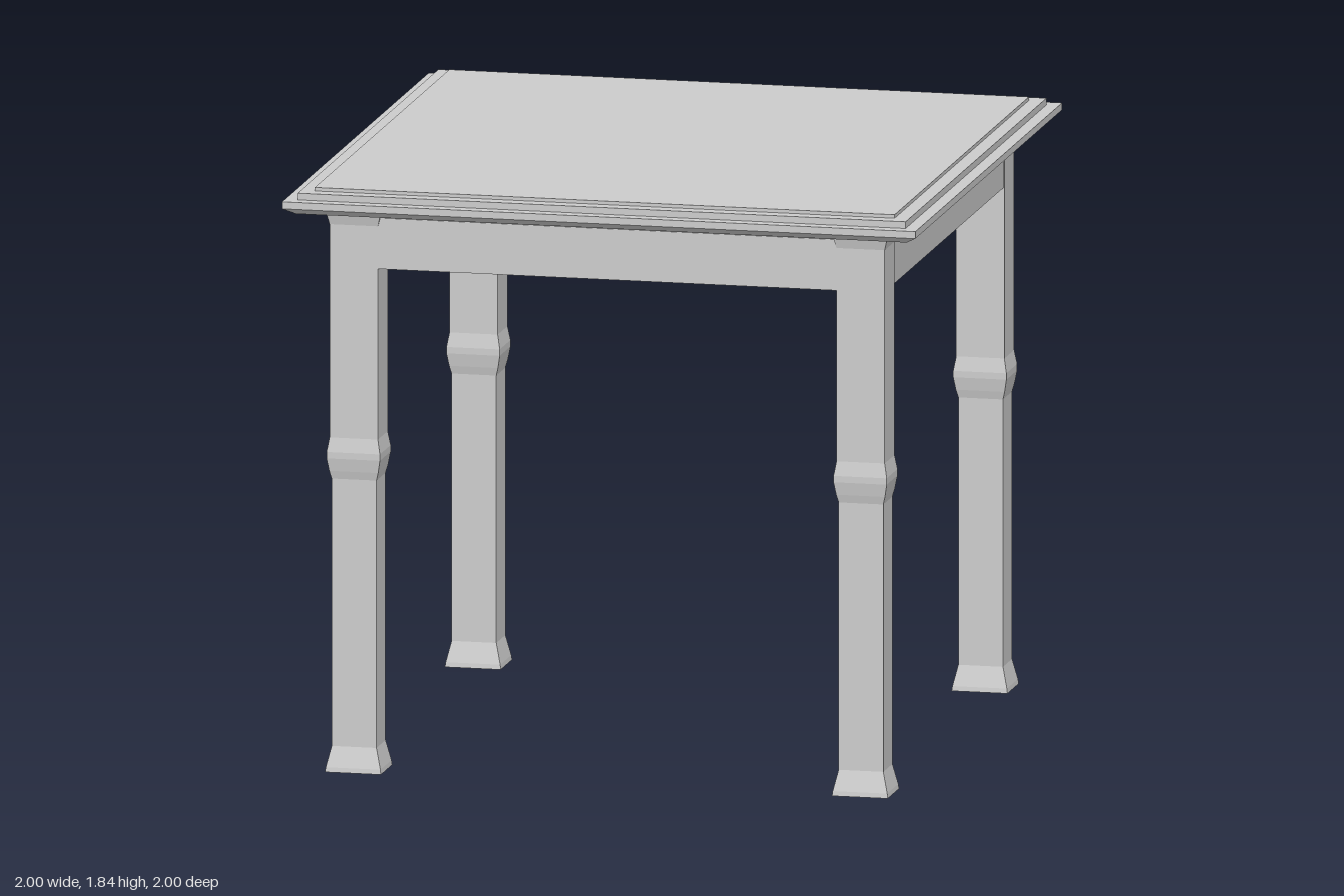
import * as THREE from 'three';

const material = new THREE.MeshStandardMaterial({ color: 0xcccccc, flatShading: true, side: THREE.DoubleSide });

// Square solid from a [half width, height] profile: a four-sided lathe.
function squareTurned(name, profile) {
  const points = [[0, profile[0][1]], ...profile, [0, profile[profile.length - 1][1]]]
    .map(([half, y]) => new THREE.Vector2(half * Math.SQRT2, y));
  const mesh = new THREE.Mesh(new THREE.LatheGeometry(points, 4, Math.PI / 4), material);
  mesh.name = name;
  return mesh;
}

function beam(name, width, depth, x, z) {
  const mesh = new THREE.Mesh(new THREE.BoxGeometry(width, 0.16, depth), material);
  mesh.name = name;
  mesh.position.set(x, 1.666, z);
  return mesh;
}

export function createModel() {
  const table = new THREE.Group();
  table.name = 'table';

  // Stepped top with a chamfered lower edge
  table.add(squareTurned('tableTop', [
    [0.965, 1.765], [1, 1.786], [1, 1.808],
    [0.96, 1.808], [0.96, 1.829],
    [0.915, 1.829], [0.915, 1.84],
  ]));

  // Legs with flared feet, a collar at mid height and flared heads
  const legProfile = [
    [0.088, 0], [0.086, 0.015], [0.0705, 0.08],
    [0.0705, 0.92], [0.077, 0.945], [0.084, 0.985], [0.084, 1.005], [0.076, 1.05],
    [0.076, 1.72], [0.088, 1.766],
  ];
  for (const [side, sx] of [['Left', 1], ['Right', -1]]) {
    for (const [end, sz] of [['front', 1], ['back', -1]]) {
      const leg = squareTurned(`${end}${side}Leg`, legProfile);
      leg.position.set(sx * 0.8, 0, sz * 0.815);
      leg.scale.z = 0.88;
      table.add(leg);
    }
    // Side aprons
    table.add(beam(`apron${side}`, 0.146, 1.5, sx * 0.8, 0));
  }

  // Front apron; the back stays open
  table.add(beam('apronFront', 1.46, 0.13, 0, 0.815));

  return table;
}
